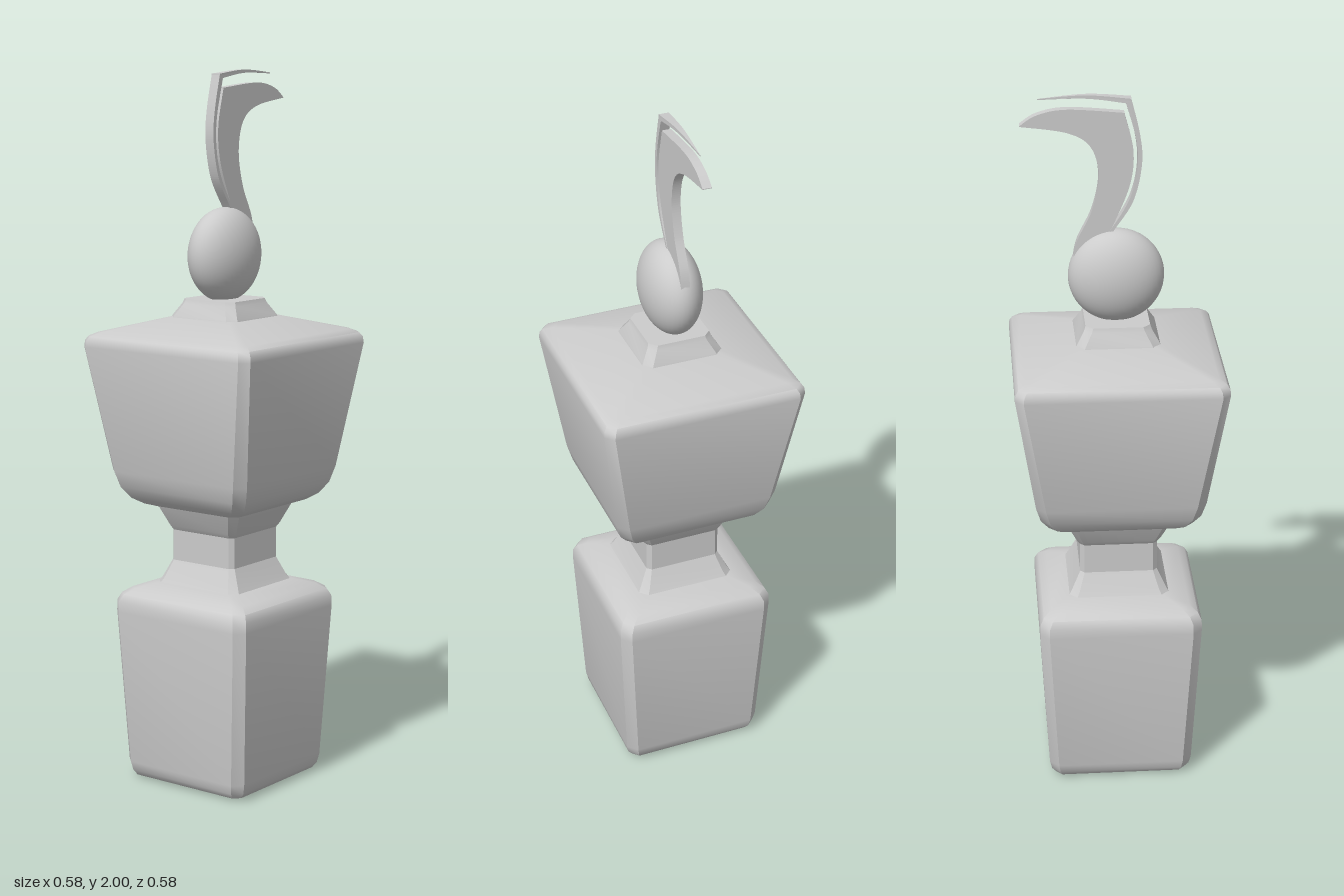
import * as THREE from 'three';
import { toCreasedNormals } from 'three/addons/utils/BufferGeometryUtils.js';

const material = new THREE.MeshStandardMaterial({ color: 0xcccccc });

// Square ring with cut corners: h = half width, c = corner cut
function ring([h, y, c]) {
  const i = h - c;
  return [[h, -i], [h, i], [i, h], [-i, h], [-h, i], [-h, -i], [-i, -h], [i, -h]]
    .map(([x, z]) => new THREE.Vector3(x, y, z));
}

// Skin stacked rings, bottom to top, and close both ends
function squareLoft(profile, crease) {
  const rings = profile.map(ring), points = [];
  const last = rings.length - 1;
  const low = new THREE.Vector3(0, profile[0][1], 0);
  const high = new THREE.Vector3(0, profile[last][1], 0);
  for (let k = 0; k < 8; k++) {
    const n = (k + 1) % 8;
    points.push(low, rings[0][k], rings[0][n]);
    for (let r = 0; r < last; r++) {
      const a = rings[r][k], b = rings[r][n], c = rings[r + 1][n], d = rings[r + 1][k];
      points.push(a, d, c, a, c, b);
    }
    points.push(high, rings[last][n], rings[last][k]);
  }
  return toCreasedNormals(new THREE.BufferGeometry().setFromPoints(points), crease);
}

// Flat outline made from smooth runs of points, extruded evenly about z = 0
function blade(runs, depth) {
  const shape = new THREE.Shape();
  runs.forEach((run, i) => {
    const pts = run.map(([x, y]) => new THREE.Vector2(x, y));
    if (i === 0) shape.moveTo(pts[0].x, pts[0].y);
    else shape.lineTo(pts[0].x, pts[0].y);
    shape.splineThru(pts.slice(1));
  });
  return new THREE.ExtrudeGeometry(shape, { depth, bevelEnabled: false, curveSegments: 12 })
    .translate(0, 0, -depth / 2);
}

export function createModel() {
  const model = new THREE.Group();
  const add = (name, geometry) => {
    const mesh = new THREE.Mesh(geometry, material);
    mesh.name = name;
    model.add(mesh);
    return mesh;
  };

  // Tapered lower block with rounded rims
  add('lowerBlock', squareLoft([
    [0.165, 0, 0.012], [0.188, 0.008, 0.018], [0.2, 0.024, 0.024], [0.206, 0.05, 0.026],
    [0.229, 0.49, 0.026], [0.228, 0.52, 0.026], [0.218, 0.54, 0.025],
    [0.195, 0.556, 0.023], [0.145, 0.572, 0.02],
  ], 0.6));

  // Waist flaring towards both blocks
  add('waist', squareLoft([
    [0.145, 0.565, 0.022], [0.133, 0.585, 0.02], [0.109, 0.635, 0.012],
    [0.109, 0.722, 0.012], [0.118, 0.735, 0.016], [0.146, 0.795, 0.022],
  ], 0.4));

  // Upper block, wider at the shoulders, with a sloping top
  add('upperBlock', squareLoft([
    [0.142, 0.79, 0.018], [0.172, 0.8, 0.02], [0.2, 0.818, 0.024], [0.222, 0.85, 0.026],
    [0.235, 0.895, 0.027], [0.288, 1.245, 0.023], [0.286, 1.262, 0.023],
    [0.278, 1.274, 0.022], [0.258, 1.284, 0.02], [0.11, 1.325, 0.012],
  ], 0.6));

  // Collar under the head
  add('collar', squareLoft([
    [0.117, 1.315, 0.022], [0.113, 1.328, 0.022], [0.092, 1.362, 0.02], [0.088, 1.374, 0.02],
  ], 0.4));

  // Head, flattened front to back
  const head = add('head', new THREE.SphereGeometry(0.131, 40, 28));
  head.position.y = 1.495;
  head.scale.z = 0.62;

  // Hooked crest rising out of the head
  add('crest', blade([
    [[0.118, 1.54], [0.105, 1.6], [0.065, 1.685], [0.047, 1.78], [0.068, 1.86], [0.13, 1.9], [0.255, 1.92]],
    [[0.255, 1.922], [0.21, 1.95], [0.13, 1.964], [-0.022, 1.952]],
    [[-0.022, 1.95], [-0.045, 1.85], [-0.038, 1.76], [0.0, 1.66], [0.05, 1.56]],
  ], 0.025));

  // Thin outer spine behind the crest, its top tapering to a point
  const spine = blade([
    [[0.04, 1.58], [0.004, 1.63], [-0.046, 1.71], [-0.068, 1.81], [-0.063, 1.89], [-0.04, 1.988]],
    [[-0.04, 1.99], [0.08, 2.0], [0.207, 1.991]],
    [[0.207, 1.988], [0.08, 1.991], [-0.026, 1.978]],
    [[-0.026, 1.976], [-0.052, 1.88], [-0.056, 1.8], [-0.036, 1.715], [0.014, 1.63], [0.05, 1.58]],
  ], 0.028);
  const p = spine.attributes.position;
  for (let i = 0; i < p.count; i++) {
    if (p.getY(i) > 1.97) p.setZ(i, p.getZ(i) * THREE.MathUtils.clamp((0.212 - p.getX(i)) / 0.25, 0.03, 1));
  }
  spine.computeVertexNormals();
  add('crestSpine', spine);

  return model;
}
